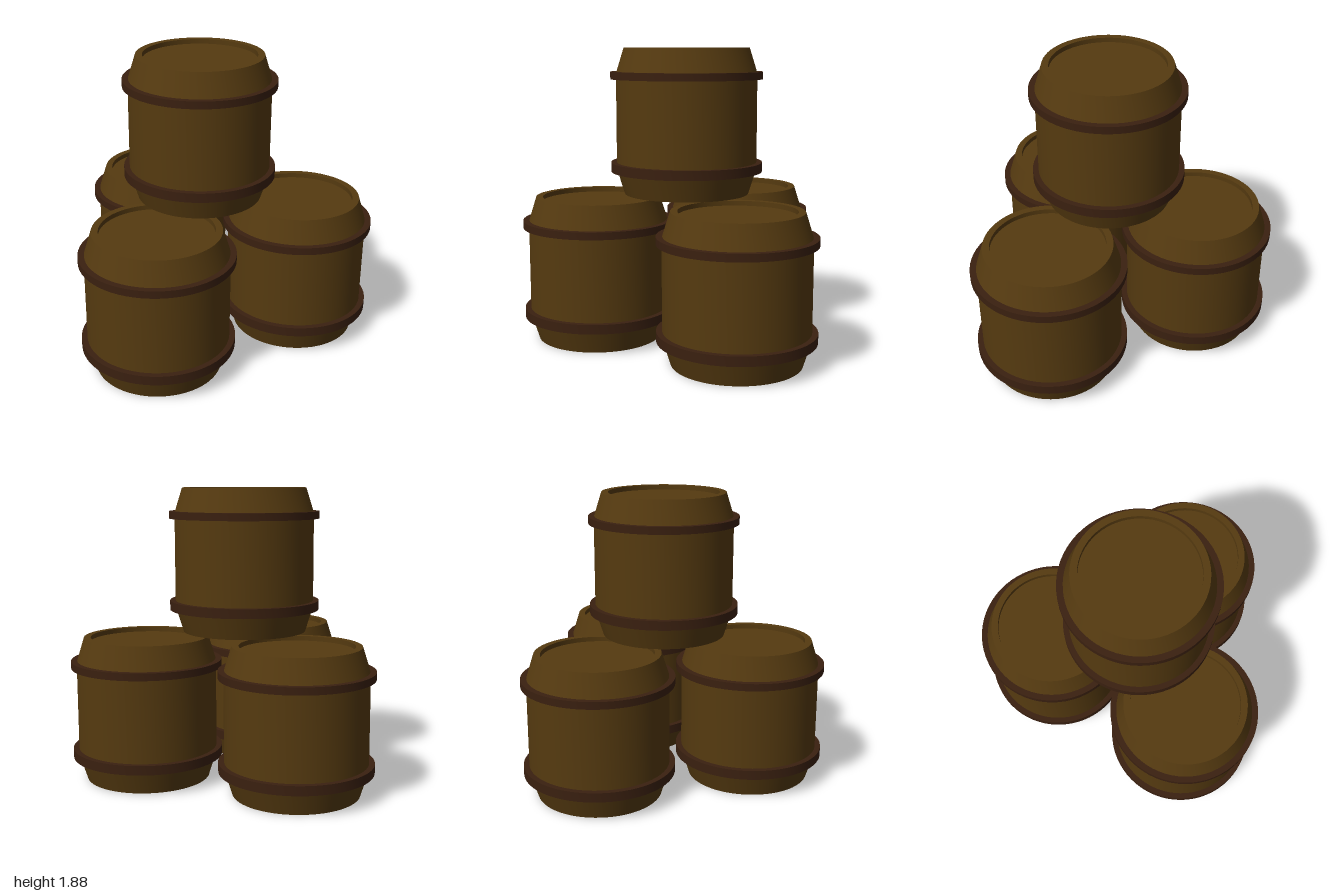
import * as THREE from 'three';
import { toCreasedNormals } from 'three/addons/utils/BufferGeometryUtils.js';

const SEGMENTS = 64;

// Revolve an [radius, height] profile, keeping its hard edges sharp
function revolve(profile) {
  const points = profile.map(([r, y]) => new THREE.Vector2(r, y));
  return toCreasedNormals(new THREE.LatheGeometry(points, SEGMENTS), 0.25);
}

// Square-section band around the barrel between two heights
function hoopGeometry(y0, y1) {
  return revolve([[0.445, y0], [0.486, y0], [0.486, y1], [0.445, y1], [0.445, y0]]);
}

export function createModel() {
  const model = new THREE.Group();
  model.name = 'barrelStack';

  const wood = new THREE.MeshStandardMaterial({ color: 0x553a10 });
  const band = new THREE.MeshStandardMaterial({ color: 0x3a2010 });

  // Straight-sided body with tapered ends and recessed lids
  const bodyGeometry = revolve([
    [0, 0.03], [0.357, 0.03], [0.357, 0], [0.4, 0], [0.45, 0.16],
    [0.45, 0.77], [0.4, 0.93], [0.357, 0.93], [0.357, 0.9], [0, 0.9],
  ]);
  const lowerHoop = hoopGeometry(0.144, 0.204);
  const upperHoop = hoopGeometry(0.733, 0.78);

  function addBarrel(name, x, y, z) {
    const barrel = new THREE.Group();
    barrel.name = name;
    const parts = [
      ['body', bodyGeometry, wood],
      ['lowerHoop', lowerHoop, band],
      ['upperHoop', upperHoop, band],
    ];
    for (const [partName, geometry, material] of parts) {
      const mesh = new THREE.Mesh(geometry, material);
      mesh.name = partName;
      barrel.add(mesh);
    }
    barrel.position.set(x, y, z);
    model.add(barrel);
  }

  // Three barrels on the ground, one on top
  addBarrel('backBarrel', 0.489, 0, -0.514);
  addBarrel('rightBarrel', -0.489, 0, -0.19);
  addBarrel('frontBarrel', 0.268, 0, 0.51);
  addBarrel('topBarrel', 0.066, 0.95, -0.028);

  return model;
}
